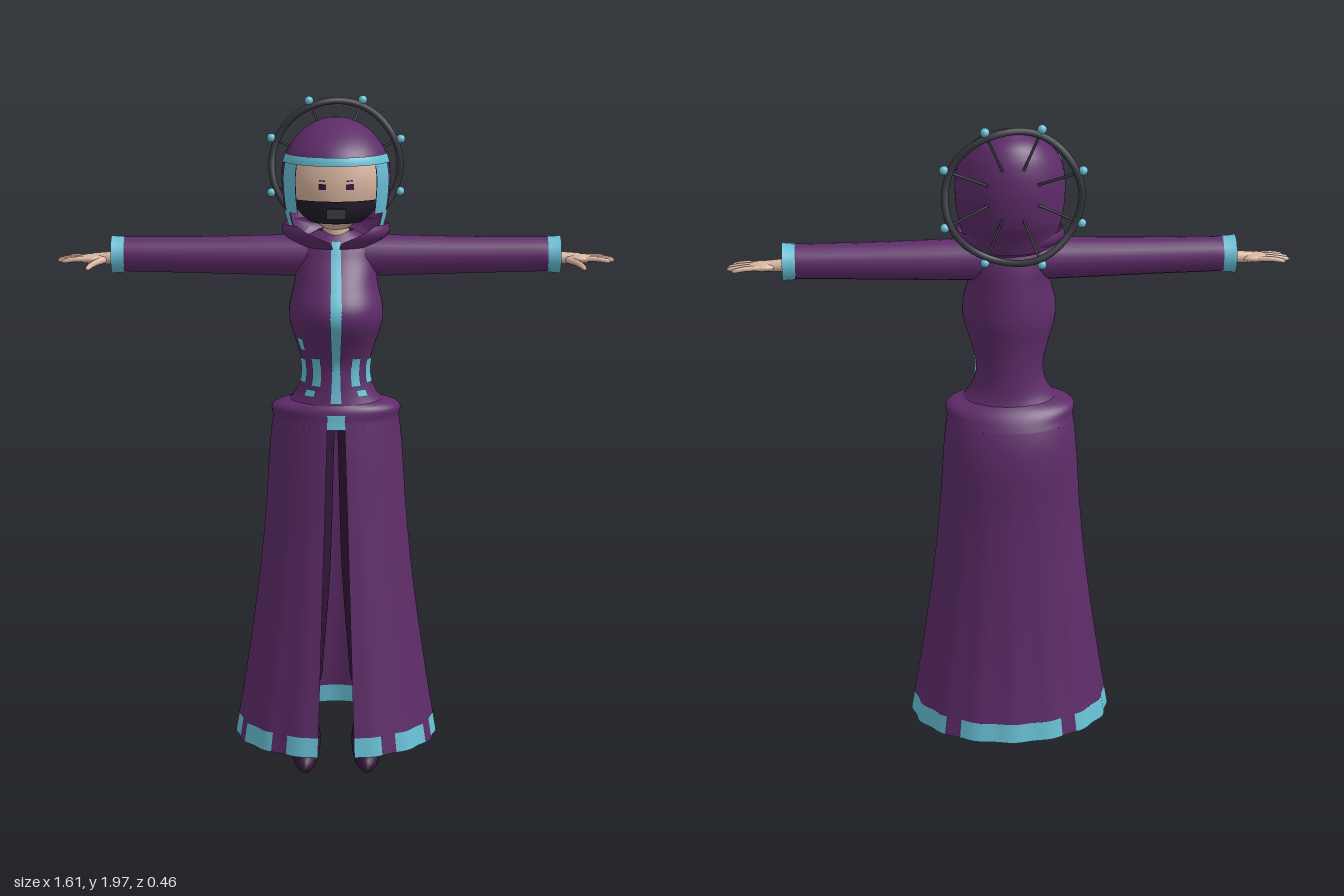
import * as THREE from 'three';
import { mergeVertices } from 'three/addons/utils/BufferGeometryUtils.js';

const mat = (name, color, side = THREE.DoubleSide) => {
  const m = new THREE.MeshStandardMaterial({ color, side });
  m.name = name;
  return m;
};
const V = (x, y, z) => new THREE.Vector3(x, y, z);
const rad = THREE.MathUtils.degToRad;

// Body surface from rows of [height, half width, front z, back z]; angle 0 is the front
function surface(rows, ripple = () => 1) {
  const spline = new THREE.CubicInterpolant(rows.map(r => r[0]), rows.flatMap(r => r.slice(1)), 3);
  return (a, y, off = 0) => {
    const [w, f, b] = spline.evaluate(y);
    const c = (f + b) / 2, k = ripple(a, y);
    return [(w * k + off) * Math.sin(a), y, c + ((f - b) / 2 * k + off) * Math.cos(a)];
  };
}

// Piece of a surface between two angles (numbers or functions of height) and two heights
function patch(surf, a0, a1, y0, y1, { off = 0, nu = 12, nv = 8, ease = 1 } = {}) {
  const pos = [], idx = [];
  const at = (a, y) => (typeof a === 'function' ? a(y) : a);
  for (let j = 0; j <= nv; j++) {
    const y = y1 - (y1 - y0) * Math.pow(1 - j / nv, ease);
    for (let i = 0; i <= nu; i++) {
      pos.push(...surf(THREE.MathUtils.lerp(at(a0, y), at(a1, y), i / nu), y, off));
      if (i < nu && j < nv) {
        const p = j * (nu + 1) + i, q = p + nu + 1;
        idx.push(p, p + 1, q + 1, p, q + 1, q);
      }
    }
  }
  const g = new THREE.BufferGeometry();
  g.setAttribute('position', new THREE.Float32BufferAttribute(pos, 3));
  g.setIndex(idx);
  const m = mergeVertices(g, 1e-5);
  m.computeVertexNormals();
  return m;
}

// Tube through points [x, y, z, radius], with an optional rounded end
function limb(pts, { n = 24, sides = 14, cap = false } = {}) {
  const curve = new THREE.CatmullRomCurve3(pts.map(p => V(p[0], p[1], p[2])));
  const radii = new THREE.CatmullRomCurve3(pts.map(p => V(p[3], 0, 0)));
  const g = new THREE.TubeGeometry(curve, n, 1, sides, false);
  const p = g.attributes.position, v = V(0, 0, 0);
  for (let i = 0; i <= n; i++) {
    const u = i / n, c = curve.getPointAt(u), e = Math.max(0, (u - 0.85) / 0.15);
    const r = radii.getPoint(curve.getUtoTmapping(u)).x * (cap ? Math.sqrt(Math.max(0, 1 - e * e)) : 1);
    for (let j = 0; j <= sides; j++) {
      const k = i * (sides + 1) + j;
      v.fromBufferAttribute(p, k).sub(c).multiplyScalar(r).add(c);
      p.setXYZ(k, v.x, v.y, v.z);
    }
  }
  g.deleteAttribute('normal');
  g.deleteAttribute('uv');
  const m = mergeVertices(g, 1e-5);
  m.computeVertexNormals();
  return m;
}

export function createModel() {
  const group = new THREE.Group();
  const purple = mat('purple cloth', 0x5e2c69);
  const teal = mat('teal trim', 0x68c0d6);
  const dark = mat('dark leggings', 0x34163a);
  const skin = mat('skin', 0xd8b49f);
  const metal = mat('dark metal', 0x3a3b42);
  const black = mat('black mask', 0x231c2b);
  const add = (name, geo, m) => {
    const mesh = new THREE.Mesh(geo, m);
    mesh.name = name;
    group.add(mesh);
    return mesh;
  };
  const PI = Math.PI;

  // Bodice
  const torso = surface([
    [1.12, .15, .11, -.1], [1.15, .122, .105, -.09], [1.2, .1, .1, -.085], [1.25, .1, .102, -.085],
    [1.3, .113, .125, -.088], [1.38, .135, .172, -.1], [1.42, .134, .172, -.1], [1.48, .12, .14, -.095],
    [1.55, .115, .095, -.085], [1.6, .1, .07, -.068], [1.63, .05, .045, -.045]]);
  add('bodice', patch(torso, -PI, PI, 1.12, 1.63, { nu: 48, nv: 40 }), purple);
  add('frontStripe', patch(torso, -.12, .12, 1.14, 1.605, { off: .004, nu: 4, nv: 40 }), teal);
  for (const s of [-1, 1]) {
    for (const [a, b, y0, y1] of [[25, 42, 1.185, 1.27], [56, 80, 1.19, 1.262], [32, 50, 1.155, 1.175]]) {
      const [lo, hi] = [s * a, s * b].sort((p, q) => p - q);
      add('waistPatch', patch(torso, rad(lo), rad(hi), y0, y1, { off: .004 }), teal);
    }
  }
  add('sidePatch', patch(torso, rad(-64), rad(-50), 1.29, 1.33, { off: .004 }), teal);

  // Long skirt with a front slit and soft folds toward the hem
  const skirt = surface([
    [.095, .3, .236, -.232], [.3, .267, .208, -.203], [.6, .226, .172, -.177], [.8, .207, .15, -.167],
    [1, .194, .13, -.163], [1.08, .184, .12, -.14], [1.125, .172, .113, -.108], [1.14, .112, .1, -.085]],
    (a, y) => 1 + .014 * Math.max(0, 1 - y) * Math.cos(16 * a));
  const slit = y => Math.asin((.025 + .03 * (1.07 - y) / .97) / skirt(PI / 2, y)[0]);
  const slitEnd = y => 2 * PI - slit(y);
  add('skirtYoke', patch(skirt, -PI, PI, 1.07, 1.14, { nu: 64, nv: 12 }), purple);
  add('skirt', patch(skirt, slit, slitEnd, .153, 1.07, { nu: 128, nv: 36 }), purple);
  add('skirtClasp', patch(skirt, -.14, .14, 1.065, 1.107, { off: .004 }), teal);

  // Hem band, alternating trim and gaps
  let from = slit;
  for (const gap of [32, 68, 142, 215, 290, 325]) {
    const g0 = rad(gap - 5), g1 = rad(gap + 5);
    add('hemTrim', patch(skirt, from, g0, .095, .153, { nu: 20, nv: 3 }), teal);
    add('hemGap', patch(skirt, g0, g1, .095, .153, { nu: 4, nv: 3 }), purple);
    from = g1;
  }
  add('hemTrim', patch(skirt, from, slitEnd, .095, .153, { nu: 20, nv: 3 }), teal);

  // Legs, sleeves and hands, mirrored
  for (const s of [-1, 1]) {
    const L = (name, pts, m, o) => add(name, limb(pts.map(([x, ...r]) => [s * x, ...r]), o), m);
    L('leg', [[.075, 1.08, -.01, .072], [.077, .6, -.02, .06], [.086, .25, -.04, .044],
      [.09, .1, .03, .044], [.092, .056, .12, .046], [.092, .042, .203, .036]], dark, { n: 48, cap: true });
    L('sleeve', [[.05, 1.555, 0, .062], [.2, 1.555, 0, .058], [.4, 1.556, 0, .053], [.612, 1.558, 0, .05]], purple, { sides: 20 });
    L('cuff', [[.608, 1.557, 0, .052], [.628, 1.557, 0, .053], [.645, 1.557, 0, .055]], teal, { n: 4, sides: 20 });
    L('wrist', [[.59, 1.55, 0, .02], [.65, 1.547, 0, .018], [.7, 1.545, 0, .016]], skin, { n: 8 });
    const palm = add('palm', new THREE.SphereGeometry(1, 16, 12), skin);
    palm.scale.set(.044, .014, .029);
    palm.position.set(s * .702, 1.545, .002);
    [.79, .805, .803, .79].forEach((tip, i) => {
      const z = -.024 + i * .016;
      L('finger', [[.71, 1.546, z * .8, .008], [.755, 1.546, z * 1.1, .0075], [tip, 1.54, z * 1.3, .006]], skin, { n: 10, sides: 8, cap: true });
    });
    L('thumb', [[.668, 1.543, .012, .011], [.695, 1.537, .045, .009], [.712, 1.528, .093, .006]], skin, { n: 10, sides: 8, cap: true });
  }

  // Head, neck, eyes and mask
  const face = surface([
    [1.64, .035, .075, -.03], [1.68, .095, .1, -.06], [1.73, .126, .109, -.08], [1.78, .134, .11, -.08], [1.86, .12, .095, -.08]]);
  add('head', patch(face, -PI, PI, 1.64, 1.86, { nu: 32, nv: 16 }), skin);
  add('neck', new THREE.CylinderGeometry(.036, .042, .12, 20), skin).position.set(0, 1.61, .015);
  add('mask', patch(face, -1.1, 1.1, 1.66, 1.727, { off: .012, nu: 20 }), black);
  add('maskVent', new THREE.BoxGeometry(.055, .028, .016), metal).position.set(0, 1.692, .118);
  for (const s of [-1, 1]) {
    const a = s * .29;
    add('eye', patch(face, a - .085, a + .085, 1.759, 1.775, { off: .003, nu: 4, nv: 2 }), dark);
    add('brow', patch(face, a - .07, a + .06, 1.782, 1.786, { off: .003, nu: 4, nv: 1 }), dark);
  }

  // Helmet hood with an open front
  const helmet = surface([
    [1.6, .12, .09, -.11], [1.64, .135, .1, -.125], [1.69, .148, .115, -.15], [1.75, .155, .127, -.163],
    [1.8, .155, .132, -.166], [1.85, .143, .126, -.16], [1.89, .117, .09, -.147], [1.92, .083, .04, -.126],
    [1.936, .05, 0, -.1], [1.943, .023, -.035, -.08], [1.945, 0, -.055, -.055]]);
  const edge = rad(47);
  add('helmetDome', patch(helmet, -PI, PI, 1.832, 1.945, { nu: 48, nv: 24, ease: 2 }), purple);
  add('helmetSides', patch(helmet, edge, 2 * PI - edge, 1.69, 1.832, { nu: 44, nv: 12 }), purple);
  add('helmetNape', patch(helmet, rad(62), rad(298), 1.6, 1.69, { nu: 40 }), purple);
  add('browTrim', patch(helmet, rad(-74), rad(74), 1.828, 1.852, { off: .008, nu: 32, nv: 3 }), teal);
  for (const s of [-1, 1]) {
    const strip = (a, b, y0, y1) => add('cheekTrim',
      patch(helmet, rad(s > 0 ? a : -b), rad(s > 0 ? b : -a), y0, y1, { off: .004 }), teal);
    strip(46, 70, 1.685, 1.832);
    strip(61, 76, 1.64, 1.69);
  }

  // Flared collar, open at the front
  const collar = surface([[1.585, .1, .085, -.08], [1.61, .142, .108, -.105], [1.63, .156, .115, -.115], [1.65, .15, .11, -.115]]);
  add('collar', patch(collar, y => .1 + Math.max(0, y - 1.605) * 16, y => 2 * PI - .1 - Math.max(0, y - 1.605) * 16,
    1.585, 1.65, { nu: 48 }), purple);

  // Wavy halo behind the head with spokes and beads
  const cy = 1.79;
  const halo = (r, t, z) => V(r * Math.cos(t), cy + r * Math.sin(t), z);
  const loop = Array.from({ length: 48 }, (_, i) => {
    const t = i / 48 * 2 * PI;
    return halo(.188, t, -.18 + .012 * Math.sin(4 * t));
  });
  add('halo', new THREE.TubeGeometry(new THREE.CatmullRomCurve3(loop, true), 96, .01, 10, true), metal);
  for (let i = 0; i < 8; i++) {
    const t = (i + .5) * PI / 4, z = -.18 + .012 * Math.sin(4 * t);
    const a = halo(.188, t, z), b = halo(.075, t, -.155), c = a.clone().lerp(b, .5);
    add('spoke', limb([a, c, b].map(p => [p.x, p.y, p.z, .004]), { n: 3, sides: 6 }), metal);
    add('bead', new THREE.SphereGeometry(.013, 14, 10), teal).position.copy(halo(.205, t, z));
  }
  return group;
}
